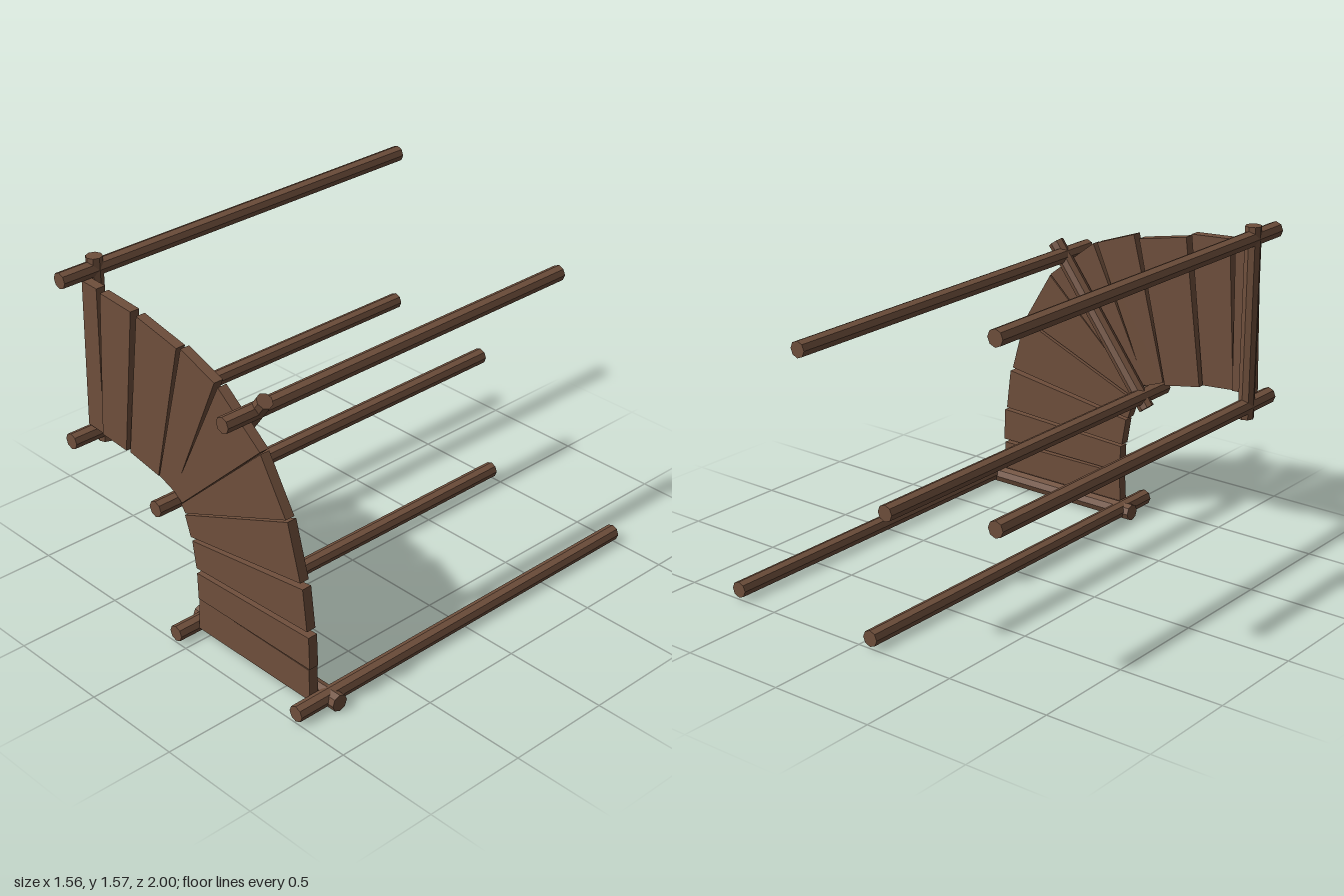
import * as THREE from 'three';

const wood = new THREE.MeshStandardMaterial({ color: 0x6f4f3c, flatShading: true });
wood.name = 'brown wood';

// Round pole between two points
function pole(name, from, to, radius = 0.038) {
  const a = new THREE.Vector3(...from), b = new THREE.Vector3(...to);
  const dir = b.clone().sub(a);
  const mesh = new THREE.Mesh(new THREE.CylinderGeometry(radius, radius, dir.length(), 8), wood);
  mesh.position.copy(a).add(b).multiplyScalar(0.5);
  mesh.quaternion.setFromUnitVectors(new THREE.Vector3(0, 1, 0), dir.normalize());
  mesh.name = name;
  return mesh;
}

// Flat tapered board: outline in x, y, with its back at z
function plank(name, corners, z) {
  const shape = new THREE.Shape(corners.map(([x, y]) => new THREE.Vector2(x, y)));
  const geometry = new THREE.ExtrudeGeometry(shape, { depth: 0.047, bevelEnabled: false });
  const mesh = new THREE.Mesh(geometry, wood);
  mesh.position.z = z;
  mesh.name = name;
  return mesh;
}

export function createModel() {
  const group = new THREE.Group();
  group.name = 'curvedPlankFrame';

  // Long poles running front to back
  const poles = [[-0.743, 1.513], [-0.743, 0.727], [-0.163, 0.642], [0.302, 1.25], [-0.064, 0.046], [0.714, 0.046]];
  poles.forEach(([x, y], i) => group.add(pole(`longPole${i + 1}`, [x, y, -1], [x, y, 1])));

  // Cross beams behind the planks
  const z = 0.812;
  group.add(pole('uprightBeam', [-0.743, 0.67, z], [-0.743, 1.57, z]));
  group.add(pole('diagonalBeam', [-0.196, 0.59, z], [0.347, 1.307, z]));
  group.add(pole('bottomBeam', [-0.125, 0.04, z], [0.78, 0.04, z], 0.04));

  // Fan of planks: outer pair of corners, then inner pair, then back z
  const planks = [
    [[-0.73, 1.483], [-0.63, 1.48], [-0.643, 0.767], [-0.75, 0.772], 0.847],
    [[-0.596, 1.475], [-0.391, 1.462], [-0.477, 0.755], [-0.642, 0.768], 0.854],
    [[-0.37, 1.446], [-0.111, 1.395], [-0.274, 0.713], [-0.466, 0.747], 0.842],
    [[-0.077, 1.408], [0.132, 1.333], [-0.16, 0.684], [-0.261, 0.722], 0.847],
    [[0.157, 1.324], [0.408, 1.128], [-0.11, 0.652], [-0.16, 0.69], 0.85],
    [[0.411, 1.121], [0.557, 0.877], [-0.09, 0.61], [-0.115, 0.645], 0.85],
    [[0.563, 0.868], [0.634, 0.607], [-0.065, 0.5], [-0.098, 0.596], 0.846],
    [[0.651, 0.586], [0.674, 0.388], [-0.031, 0.357], [-0.052, 0.487], 0.849],
    [[0.692, 0.37], [0.697, 0.213], [-0.015, 0.21], [-0.019, 0.341], 0.857],
    [[0.684, 0.2], [0.688, 0.044], [-0.029, 0.044], [-0.019, 0.204], 0.85],
  ];
  planks.forEach((p, i) => group.add(plank(`plank${i + 1}`, p.slice(0, 4), p[4])));

  return group;
}
